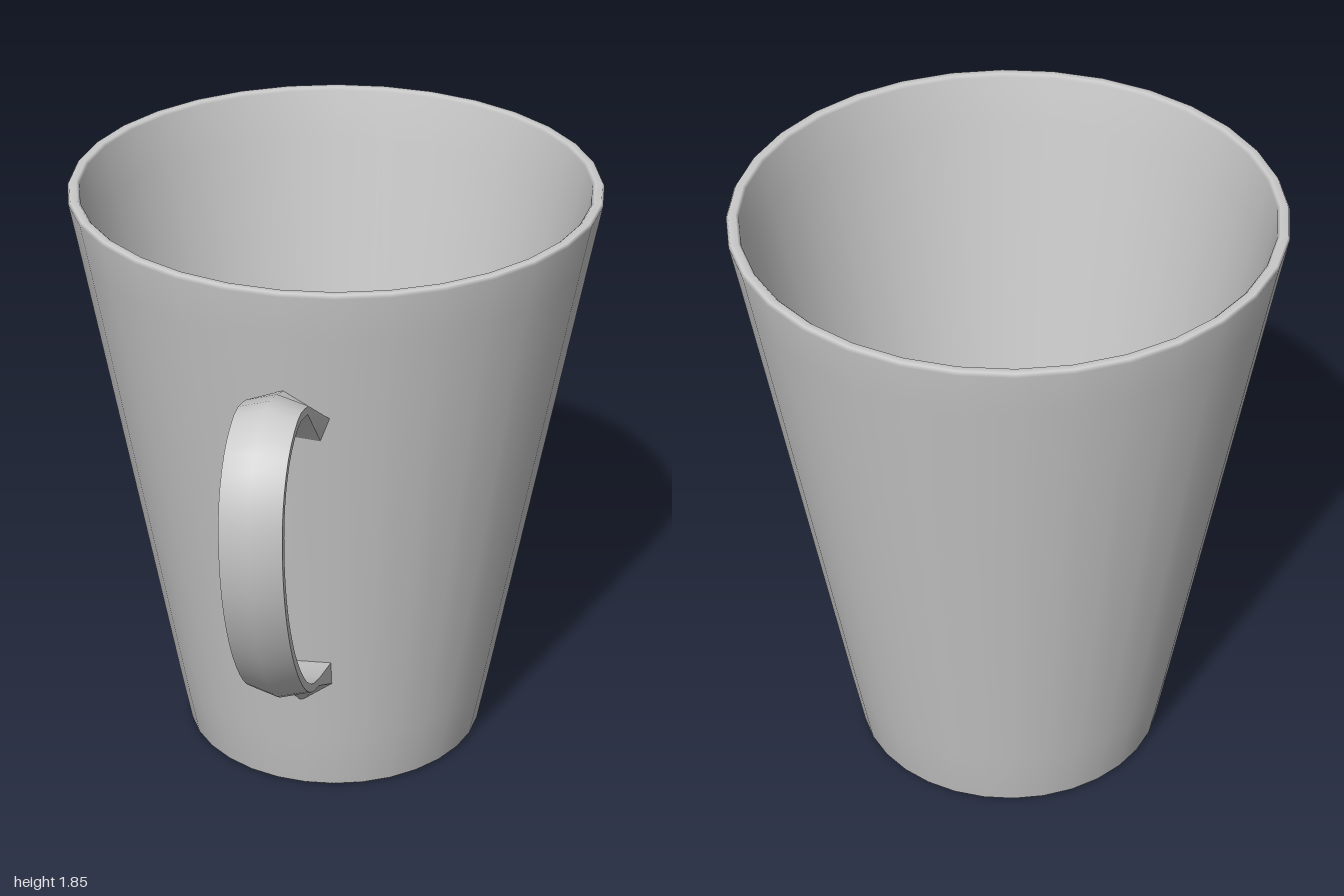
import * as THREE from 'three';
import { toCreasedNormals } from 'three/addons/utils/BufferGeometryUtils.js';

const material = new THREE.MeshStandardMaterial({ color: 0xcccccc });
const AXIS_Z = -0.197;

// Tapered cup: one closed profile from under the base, over the rim, to the inner floor
function createCup() {
  const profile = [
    [0, 0.02], [0.41, 0.02], [0.43, 0.015], [0.435, 0], [0.462, 0], [0.47, 0.008],
    [0.506, 0.2], [0.773, 1.69], [0.8, 1.835], [0.794, 1.845],
    [0.772, 1.845], [0.764, 1.837], [0.738, 1.69], [0.472, 0.2],
    [0.457, 0.125], [0.43, 0.105], [0.38, 0.1], [0, 0.1],
  ].map(([r, y]) => new THREE.Vector2(r, y));
  const cup = new THREE.Mesh(new THREE.LatheGeometry(profile, 32), material);
  cup.name = 'cup';
  cup.position.z = AXIS_Z;
  return cup;
}

// Strap handle: five-sided sections (outer ridge, outer edges, inner edges) lofted along a curve
function createHandle() {
  const path = new THREE.CatmullRomCurve3([
    [0.63, 1.522], [0.75, 1.548], [0.88, 1.498], [0.955, 1.39], [0.975, 1.25],
    [0.945, 1.05], [0.85, 0.83], [0.71, 0.645], [0.59, 0.55], [0.48, 0.505],
  ].map(([z, y]) => new THREE.Vector3(0, y, z)));
  const positions = [];
  const addSection = (outer, inner, outerHalf, innerHalf) => {
    const edge = outer.clone().lerp(inner, 0.5);
    positions.push(
      0, outer.y, outer.z,
      outerHalf, edge.y, edge.z,
      innerHalf, inner.y, inner.z,
      -innerHalf, inner.y, inner.z,
      -outerHalf, edge.y, edge.z);
  };

  // Flared upper root, the strap, then the flared lower root
  addSection(new THREE.Vector3(0, 1.51, 0.525), new THREE.Vector3(0, 1.335, 0.495), 0.13, 0.1);
  const steps = 32;
  for (let i = 0; i <= steps; i++) {
    const p = path.getPointAt(i / steps);
    const t = path.getTangentAt(i / steps);
    const out = new THREE.Vector3(0, t.z, -t.y).multiplyScalar(0.025);
    addSection(p.clone().add(out), p.clone().sub(out), 0.09, 0.09);
  }
  addSection(new THREE.Vector3(0, 0.335, 0.315), new THREE.Vector3(0, 0.508, 0.35), 0.1, 0.1);

  const indices = [];
  for (let s = 0; s < steps + 2; s++) {
    for (let k = 0; k < 5; k++) {
      const a = s * 5 + k;
      const b = s * 5 + (k + 1) % 5;
      indices.push(a, a + 5, b, b, a + 5, b + 5);
    }
  }
  const geometry = new THREE.BufferGeometry();
  geometry.setAttribute('position', new THREE.Float32BufferAttribute(positions, 3));
  geometry.setIndex(indices);
  const handle = new THREE.Mesh(toCreasedNormals(geometry, 0.9), material);
  handle.name = 'handle';
  return handle;
}

export function createModel() {
  const mug = new THREE.Group();
  mug.name = 'mug';
  mug.add(createCup(), createHandle());
  return mug;
}
